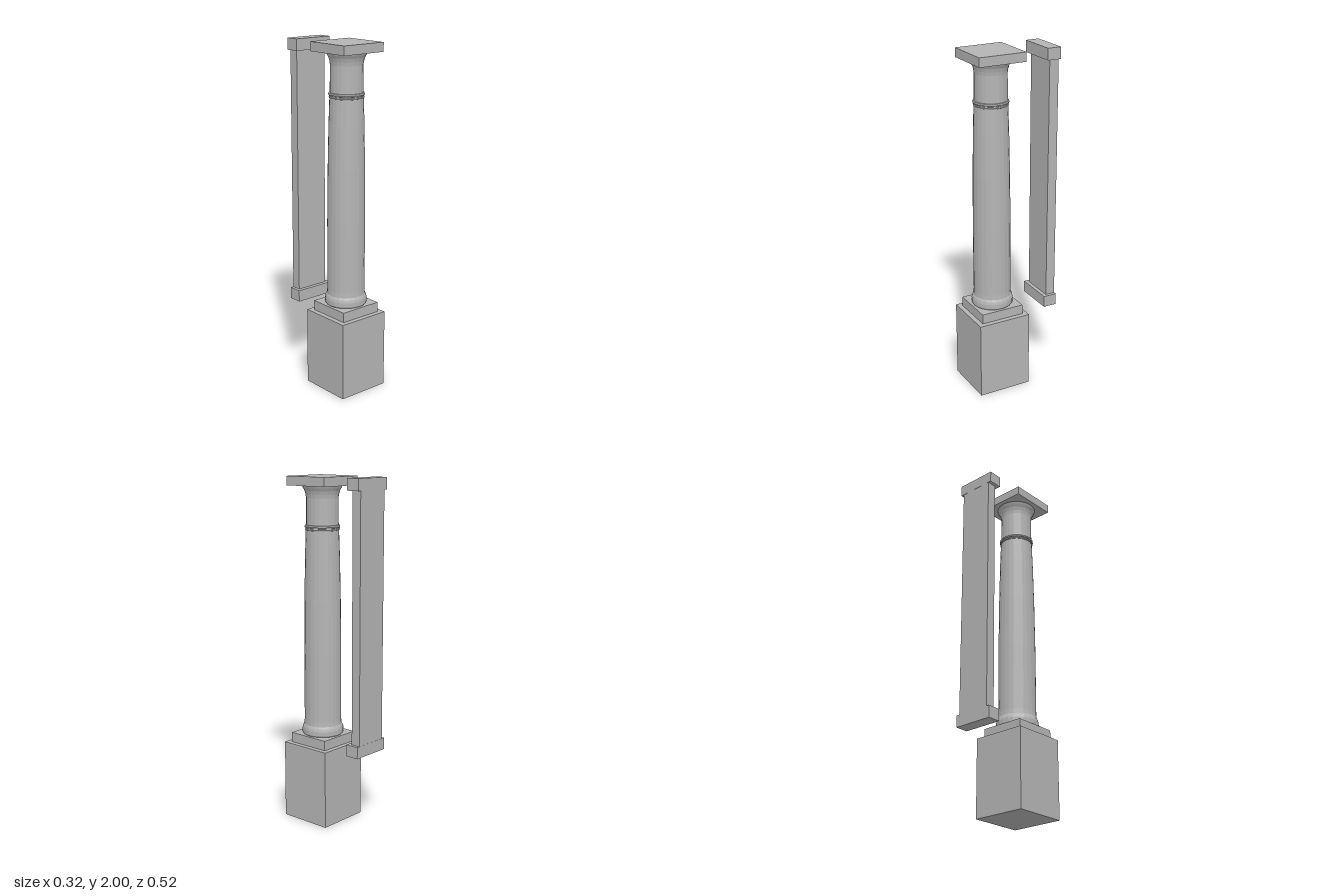
import * as THREE from 'three';

export function createModel() {
  const model = new THREE.Group();
  const stone = new THREE.MeshStandardMaterial({ color: 0xb4b4b4 });
  stone.name = 'grey stone';
  stone.flatShading = true;

  // Box given by half width, bottom, top, back and front
  function block(name, half, y0, y1, z0, z1, parent) {
    const mesh = new THREE.Mesh(new THREE.BoxGeometry(half * 2, y1 - y0, z1 - z0), stone);
    mesh.position.set(0, (y0 + y1) / 2, (z0 + z1) / 2);
    mesh.name = name;
    parent.add(mesh);
  }

  // Free-standing column with square pedestal, plinth and abacus
  const column = new THREE.Group();
  column.name = 'column';
  column.position.z = 0.102;
  model.add(column);
  block('pedestal', 0.159, 0, 0.455, -0.159, 0.159, column);
  block('plinth', 0.13, 0.455, 0.512, -0.13, 0.13, column);
  block('abacus', 0.14, 1.948, 2, -0.14, 0.14, column);

  // Turned shaft: rounded foot, tapered body, flared capital
  const profile = [
    [0, 0.512], [0.115, 0.512], [0.12, 0.52], [0.12, 0.545], [0.116, 0.56],
    [0.109, 0.572], [0.107, 0.6], [0.107, 1.0], [0.104, 1.3], [0.099, 1.55],
    [0.094, 1.7], [0.092, 1.74], [0.091, 1.88], [0.094, 1.9], [0.1, 1.92],
    [0.109, 1.936], [0.114, 1.948], [0, 1.948],
  ].map(([r, y]) => new THREE.Vector2(r, y));
  const shaft = new THREE.Mesh(new THREE.LatheGeometry(profile, 24), stone);
  shaft.name = 'columnShaft';
  column.add(shaft);

  // Double moulding around the neck
  for (const [y, r, tube] of [[1.721, 0.091, 0.01], [1.705, 0.091, 0.007]]) {
    const ring = new THREE.Mesh(new THREE.TorusGeometry(r, tube, 8, 24), stone);
    ring.rotation.x = Math.PI / 2;
    ring.position.y = y;
    ring.name = 'neckRing';
    column.add(ring);
  }

  // Flat pilaster standing behind the column, flush at the back
  const pilaster = new THREE.Group();
  pilaster.name = 'pilaster';
  model.add(pilaster);
  block('pilasterBase', 0.119, 0.455, 0.523, -0.262, -0.182, pilaster);
  block('pilasterShaft', 0.1, 0.523, 1.934, -0.261, -0.205, pilaster);
  block('pilasterCap', 0.119, 1.934, 2, -0.262, -0.182, pilaster);

  return model;
}
